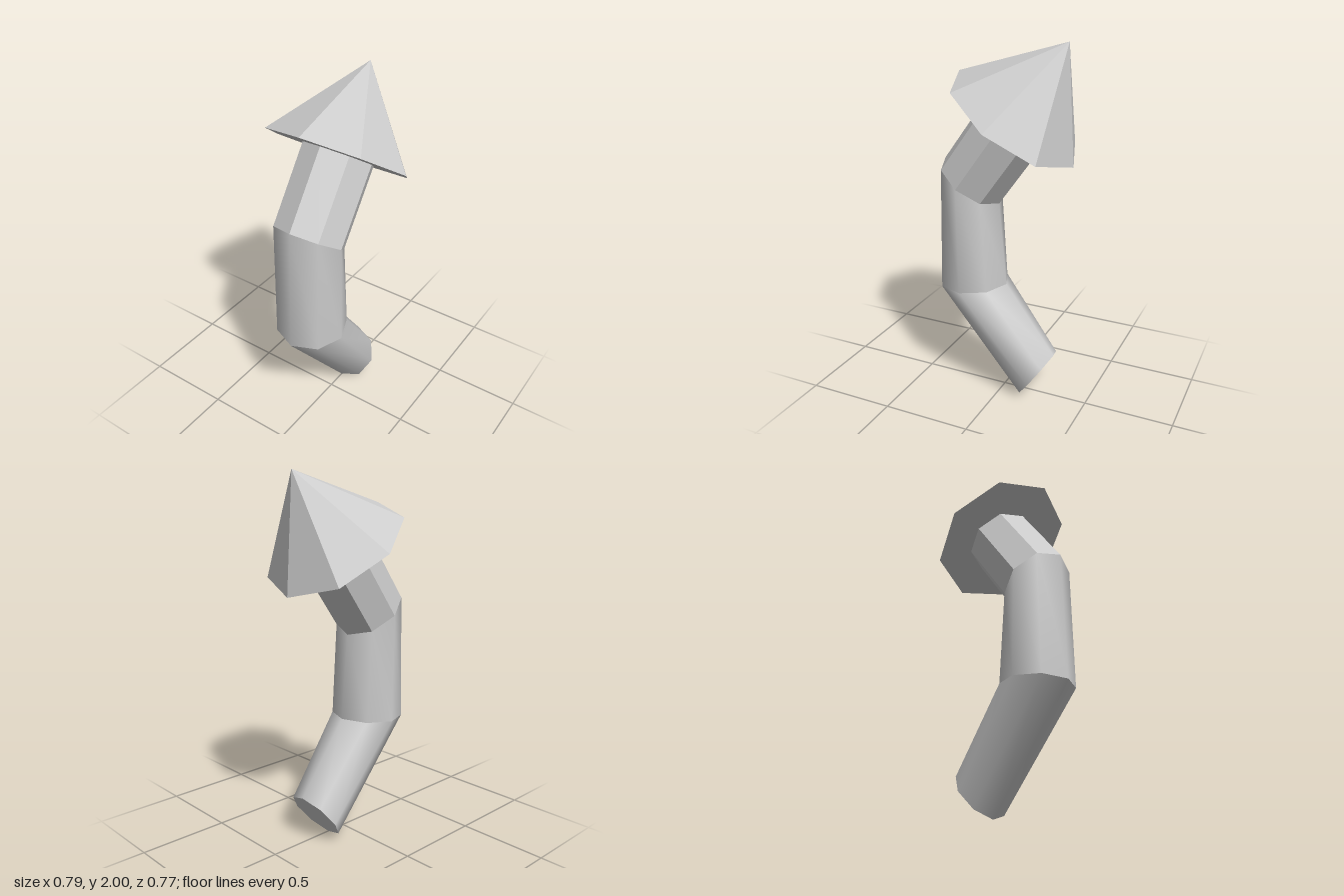
import * as THREE from 'three';

const SIDES = 8;

// Tilted ring from its front and back points [z, y] and its half width in x
function ring(front, back, rx) {
  const cz = (front[0] + back[0]) / 2, cy = (front[1] + back[1]) / 2;
  const hz = (front[0] - back[0]) / 2, hy = (front[1] - back[1]) / 2;
  return Array.from({ length: SIDES }, (_, i) => {
    const a = (i / SIDES) * Math.PI * 2, s = Math.sin(a);
    return new THREE.Vector3(rx * Math.cos(a), cy + hy * s, cz + hz * s);
  });
}

// Ring shrunk to a single point, for tips and end caps
const point = (z, y) => Array.from({ length: SIDES }, () => new THREE.Vector3(0, y, z));

// Skin between two rings, smooth or faceted
function loft(name, low, high, smooth) {
  const index = [];
  const add = (a, b, c, p, q) => { if (!p.equals(q)) index.push(a, b, c); };
  for (let i = 0; i < SIDES; i++) {
    const j = (i + 1) % SIDES;
    add(i, SIDES + i, SIDES + j, high[i], high[j]);
    add(i, SIDES + j, j, low[i], low[j]);
  }
  let geometry = new THREE.BufferGeometry().setFromPoints([...low, ...high]);
  geometry.setIndex(index);
  if (!smooth) geometry = geometry.toNonIndexed();
  geometry.computeVertexNormals();
  const material = new THREE.MeshStandardMaterial({ color: 0xcccccc, flatShading: !smooth });
  const mesh = new THREE.Mesh(geometry, material);
  mesh.name = name;
  return mesh;
}

export function createModel() {
  const group = new THREE.Group();
  group.name = 'bentArrow';

  const foot = ring([-0.115, 0.0], [-0.302, 0.26], 0.16);
  const lowerBend = ring([0.385, 0.625], [-0.008, 0.648], 0.197);
  const upperBend = ring([0.36, 1.345], [0.035, 1.122], 0.197);
  const neck = ring([0.096, 1.71], [-0.226, 1.485], 0.197);
  const brim = ring([0.263, 1.825], [-0.384, 1.375], 0.394);

  group.add(
    loft('footCap', point(-0.209, 0.13), foot, false),
    loft('lowerStem', foot, lowerBend, true),
    loft('middleStem', lowerBend, upperBend, true),
    loft('upperStem', upperBend, neck, false),
    // Pointed head with a closed underside
    loft('headUnderside', point(-0.06, 1.6), brim, false),
    loft('headCone', brim, point(-0.343, 2.0), false)
  );
  return group;
}
